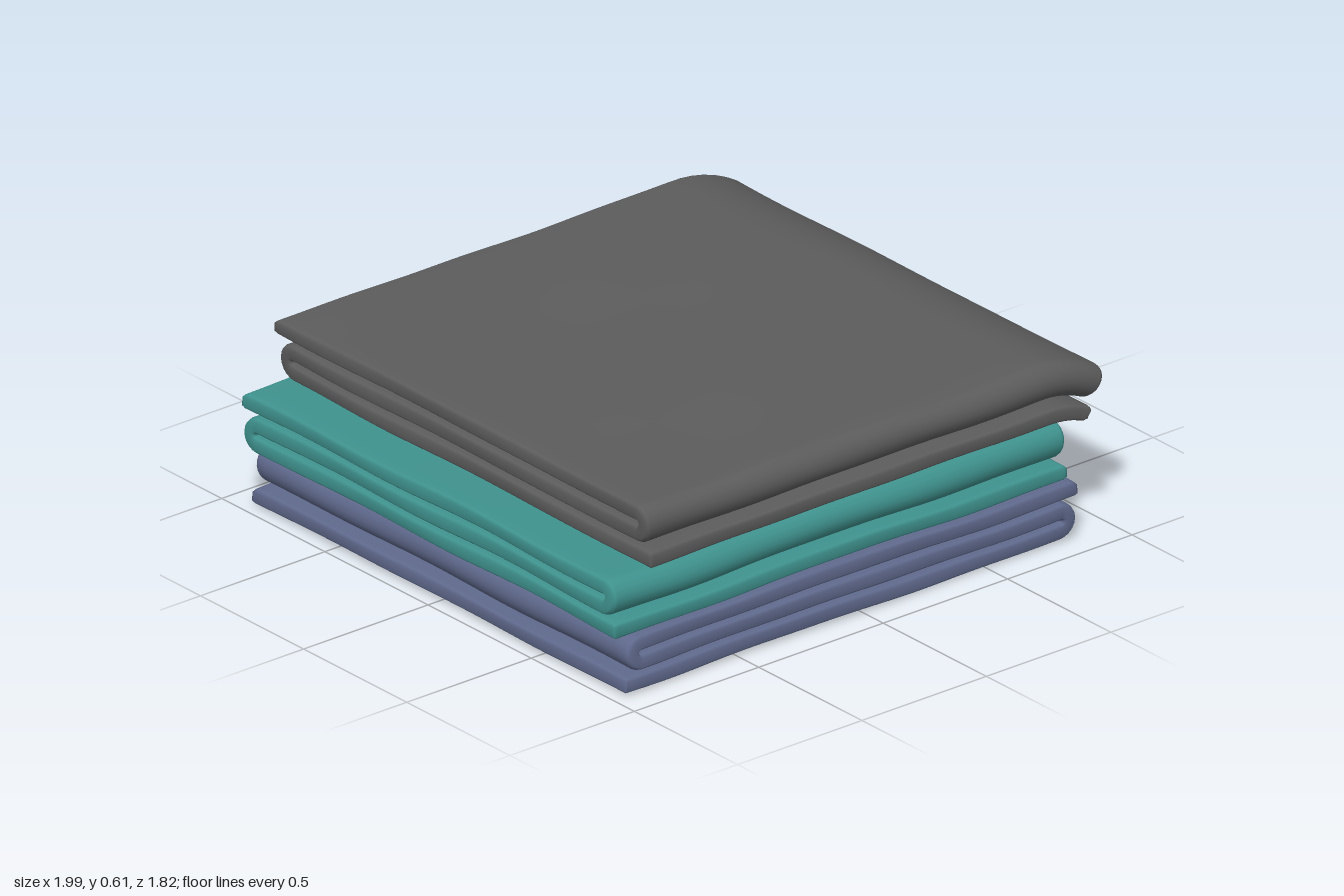
import * as THREE from 'three';

const HALF = 0.028; // half the cloth thickness

// Centre line of a cloth folded in three: free end, fold, fold, free end
function foldedPath({ u0, u1, foldRight, foldLeft, y0, gap }) {
  const pts = [];
  const r = gap / 2;
  const cr = foldRight - r - HALF, cl = foldLeft + r + HALF;
  const add = (u, y, du, dy, s = 1) => pts.push({ u, y, du, dy, s });
  const straight = (a, b, y, n = 26) => {
    for (let i = 1; i < n; i++) add(a + (b - a) * i / n, y, Math.sign(b - a), 0);
  };
  const arc = (cu, cy, side, n = 10) => {
    for (let i = 0; i <= n; i++) {
      const a = -Math.PI / 2 + Math.PI * i / n;
      add(cu + side * r * Math.cos(a), cy + r * Math.sin(a), -side * Math.sin(a), Math.cos(a));
    }
  };
  const taper = [[0, 0.55], [0.007, 0.85], [0.018, 1]];
  for (const [d, s] of taper) add(u0 + d, y0, 1, 0, s);
  straight(u0 + 0.02, cr, y0);
  arc(cr, y0 + r, 1);
  straight(cr, cl, y0 + gap);
  arc(cl, y0 + gap + r, -1);
  straight(cl, u1 - 0.02, y0 + 2 * gap);
  for (const [d, s] of taper.slice().reverse()) add(u1 - d, y0 + 2 * gap, 1, 0, s);
  return pts;
}

// Soft, uneven lie of the fabric
function ripple(p) {
  const { x, y, z } = p;
  const f = y * 9;
  p.y += 0.0028 * Math.sin(5.2 * x + 2.1 * z + 0.6) + 0.0022 * Math.sin(6.3 * z - 3.1 * x + f)
    + 0.0012 * Math.sin(13 * x + 9 * z + 2 * f);
  p.x += 0.003 * Math.sin(7 * z + f * 2);
  p.z += 0.003 * Math.sin(7 * x + f * 2 + 1);
}

// Sweep the folded section from v0 to v1, rounding both cut edges
function foldedCloth(path, v0, v1, place) {
  const stations = [[v0, 0.55], [v0 + 0.007, 0.85], [v0 + 0.018, 1]];
  const n = 42;
  for (let j = 1; j < n; j++) stations.push([v0 + 0.02 + (v1 - v0 - 0.04) * j / n, 1]);
  stations.push([v1 - 0.018, 1], [v1 - 0.007, 0.85], [v1, 0.55]);

  const N = path.length, M = N * 2;
  const pos = [], idx = [];
  const p = new THREE.Vector3();
  for (const [v, sv] of stations) {
    for (let i = 0; i < M; i++) {
      const q = path[i < N ? i : M - 1 - i];
      const h = HALF * Math.min(q.s, sv) * (i < N ? 1 : -1);
      place(p, q.u + q.dy * h, q.y - q.du * h, v);
      pos.push(p.x, p.y, p.z);
    }
  }
  const last = stations.length - 1;
  for (let j = 0; j < last; j++) {
    for (let i = 0; i < M; i++) {
      const k = (i + 1) % M;
      const a = j * M + i, b = j * M + k, c = b + M, d = a + M;
      idx.push(a, b, c, a, c, d);
    }
  }
  // Cut edges
  for (let k = 0; k < N - 1; k++) {
    const a = k, b = k + 1, c = M - 2 - k, d = M - 1 - k, o = last * M;
    idx.push(o + a, o + b, o + c, o + a, o + c, o + d);
    idx.push(a, c, b, a, d, c);
  }
  const g = new THREE.BufferGeometry();
  g.setAttribute('position', new THREE.Float32BufferAttribute(pos, 3));
  g.setIndex(idx);
  g.computeVertexNormals();
  return g;
}

// Folds running along z, and folds running along x
const alongZ = (p, u, y, v) => ripple(p.set(u, y, v));
const alongX = (p, u, y, v) => ripple(p.set(v, y, -u));

// As alongX, with the overhanging end curling down over the edge
function drooping(p, u, y, v) {
  alongX(p, u, y, v);
  const start = 0.73;
  if (p.x <= start) return;
  const h = (p.y - 0.41) / 0.2;
  const R = 0.27 + 0.2 * h;
  const a = (p.x - start) / 0.27 * 0.61;
  p.x = start + R * Math.sin(a);
  p.y -= R * (1 - Math.cos(a)) * (0.55 + 0.45 * h);
}

export function createModel() {
  const group = new THREE.Group();
  const add = (name, color, section, v0, v1, place) => {
    const material = new THREE.MeshStandardMaterial({ color });
    material.name = name + 'Fabric';
    const mesh = new THREE.Mesh(foldedCloth(foldedPath(section), v0, v1, place), material);
    mesh.name = name + 'Cloth';
    group.add(mesh);
  };
  add('blue', 0x5f698c,
    { u0: -0.96, u1: 0.86, foldRight: 0.855, foldLeft: -0.95, y0: 0.037, gap: 0.066 },
    -0.905, 0.905, alongZ);
  add('teal', 0x3f928e,
    { u0: -0.907, u1: 0.907, foldRight: 0.9, foldLeft: -0.9, y0: 0.238, gap: 0.066 },
    -0.997, 0.82, alongX);
  add('gray', 0x5c5c5c,
    { u0: -0.907, u1: 0.907, foldRight: 0.895, foldLeft: -0.9, y0: 0.441, gap: 0.069 },
    -0.86, 1.0, drooping);
  return group;
}
